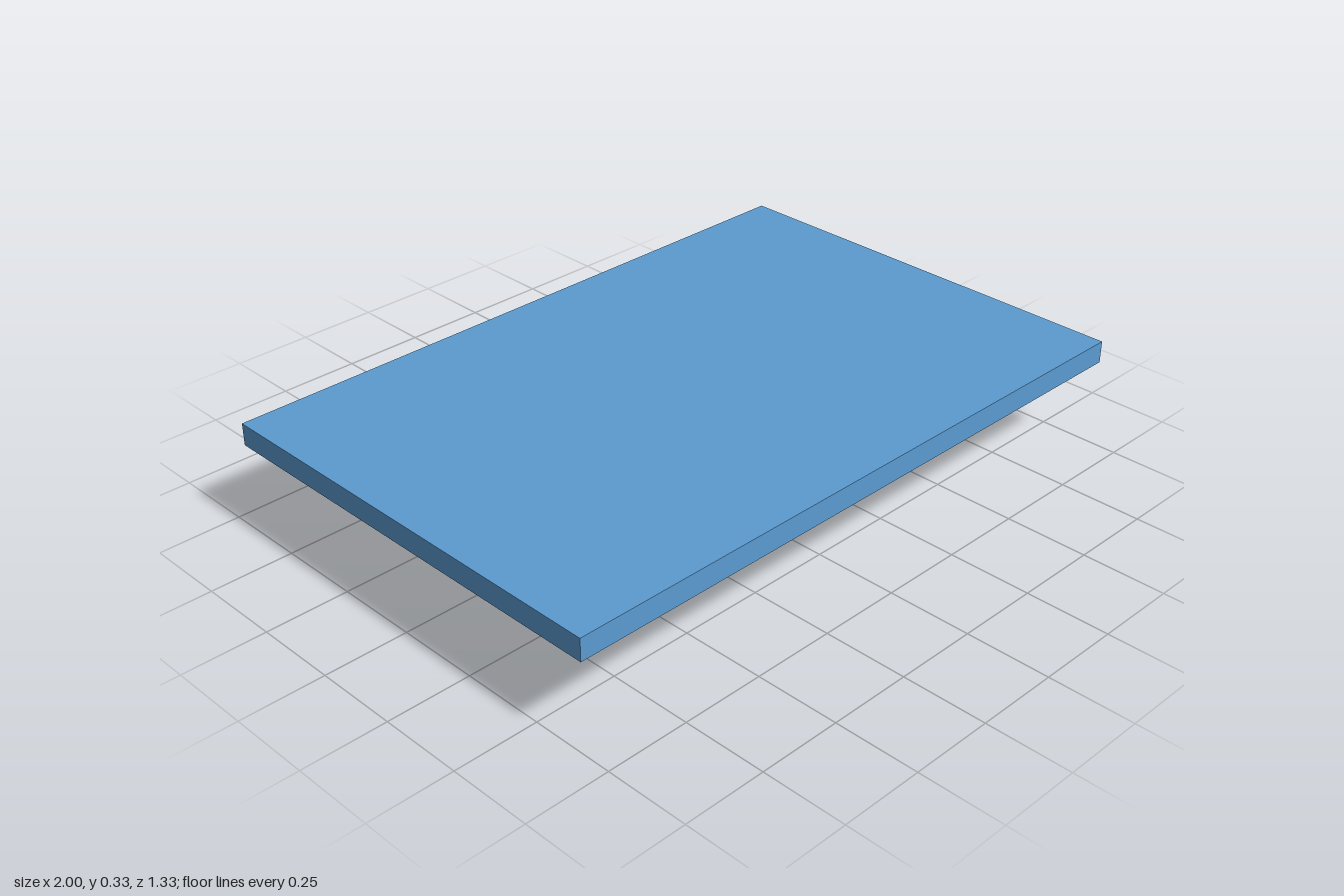
import * as THREE from 'three';

const TOP = { width: 2, thickness: 0.0667, depth: 1.3333 };
const LEG = { radius: 0.1667, height: 0.2667, sides: 32 };

export function createModel() {
  const group = new THREE.Group();

  const addPart = (name, geometry, color, y) => {
    const material = new THREE.MeshStandardMaterial({ color, flatShading: true });
    const mesh = new THREE.Mesh(geometry, material);
    mesh.name = name;
    mesh.position.y = y;
    group.add(mesh);
  };

  // flat rectangular top
  addPart('tableTop', new THREE.BoxGeometry(TOP.width, TOP.thickness, TOP.depth),
    0x5b9bd0, LEG.height + TOP.thickness / 2);

  // round central support
  addPart('pedestal', new THREE.CylinderGeometry(LEG.radius, LEG.radius, LEG.height, LEG.sides),
    0x5bc0e0, LEG.height / 2);

  return group;
}
